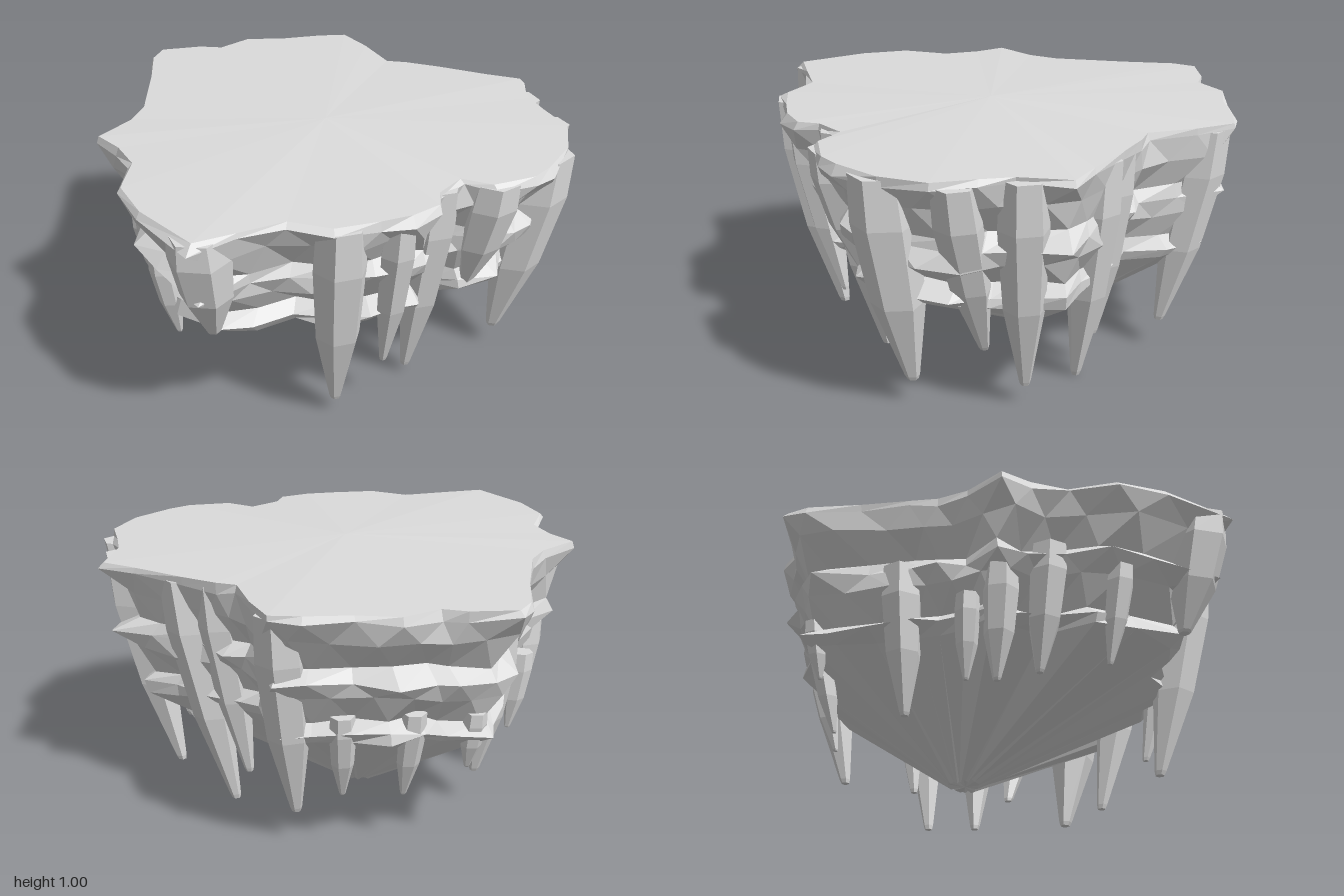
import * as THREE from 'three';

// Rim outline (x, z), counter-clockwise seen from above
const RIM = [
  [0.12, 0.97], [0.22, 0.83], [0.33, 0.67], [0.50, 0.63], [0.62, 0.50], [0.70, 0.40], [0.75, 0.28],
  [0.71, 0.20], [0.73, 0.06], [0.86, 0.04], [0.97, -0.10], [0.99, -0.20], [0.99, -0.40], [0.92, -0.58],
  [0.78, -0.68], [0.68, -0.76], [0.57, -0.93], [0.42, -0.90], [0.20, -0.87], [0.05, -0.84],
  [-0.03, -0.81], [-0.20, -0.92], [-0.35, -0.99], [-0.45, -0.92], [-0.58, -0.80], [-0.72, -0.71],
  [-0.77, -0.56], [-0.86, -0.52], [-0.99, -0.40], [-0.97, -0.30], [-0.85, -0.12], [-0.75, 0.05],
  [-0.69, 0.15], [-0.66, 0.28], [-0.68, 0.47], [-0.55, 0.51], [-0.42, 0.59], [-0.34, 0.77], [-0.17, 0.88],
];
const N = RIM.length;
const CENTRE = [-0.05, -0.28];

// Height, scale of the outline, roughness and sideways shift of each layer, from the rim down
const LAYERS = [
  [0.975, 0.985, 0, 0], [0.945, 1.0, 0.02, 0], [0.86, 0.955, 0.03, 0.5], [0.745, 0.865, 0.02, 1],
  [0.695, 0.925, 0.05, 1], [0.63, 0.895, 0.03, 1.5], [0.525, 0.79, 0.02, 2], [0.48, 0.85, 0.04, 2],
  [0.44, 0.81, 0.04, 2],
];

// Hanging spikes: tip x, tip y, tip z, greatest radius, top y, outward lean
const SPIKES = [
  [0.07, 0.48, 0.77, 0.12, 0.96, 0.10], [0.40, 0.07, 0.42, 0.105, 0.96, 0.16],
  [0.53, 0.21, 0.27, 0.07, 0.93, 0.14], [0.52, 0.04, 0.04, 0.095, 0.96, 0.16],
  [0.72, 0.45, -0.06, 0.10, 0.96, 0.12], [0.75, 0.10, -0.33, 0.12, 0.96, 0.16],
  [0.54, 0.20, -0.50, 0.09, 0.95, 0.30], [0.48, 0.08, -0.65, 0.095, 0.96, 0.18],
  [0.17, 0.0, -0.65, 0.09, 0.95, 0.18], [0.08, 0.15, -0.66, 0.08, 0.95, 0.12],
  [-0.25, 0.12, -0.75, 0.095, 0.95, 0.15], [-0.40, 0.20, -0.66, 0.05, 0.55, 0.08],
  [-0.56, 0.19, -0.50, 0.05, 0.55, 0.08], [-0.76, 0.32, -0.38, 0.045, 0.55, 0.04],
  [-0.59, 0.14, -0.08, 0.085, 0.73, 0.08], [-0.56, 0.22, 0.20, 0.05, 0.55, 0.05],
  [-0.50, 0.21, 0.30, 0.07, 0.65, 0.07], [-0.37, 0.26, 0.40, 0.08, 0.75, 0.09],
  [-0.21, 0.29, 0.61, 0.055, 0.70, 0.08],
];

function seeded(seed) {
  return () => {
    seed = (seed * 16807) % 2147483647;
    return seed / 2147483647;
  };
}

// Point on the outline at a fractional index
function rimPoint(t) {
  const i = Math.floor(t), f = t - i;
  const a = RIM[i % N], b = RIM[(i + 1) % N];
  return [a[0] + (b[0] - a[0]) * f, a[1] + (b[1] - a[1]) * f];
}

// Skin a stack of equal-length rings listed from top to bottom
function skin(rings, capTop, capBottom) {
  const n = rings[0].length, index = [];
  const pos = rings.flat();
  for (let r = 0; r < rings.length - 1; r++) {
    for (let j = 0; j < n; j++) {
      const a = r * n + j, b = r * n + (j + 1) % n;
      index.push(a + n, b + n, b, a + n, b, a);
    }
  }
  if (capTop) {
    pos.push(capTop);
    for (let j = 0; j < n; j++) index.push(pos.length - 1, j, (j + 1) % n);
  }
  if (capBottom) {
    pos.push(capBottom);
    const o = (rings.length - 1) * n;
    for (let j = 0; j < n; j++) index.push(pos.length - 1, o + (j + 1) % n, o + j);
  }
  const g = new THREE.BufferGeometry();
  g.setAttribute('position', new THREE.Float32BufferAttribute(pos.flat(), 3));
  g.setIndex(index);
  const flat = g.toNonIndexed();
  flat.computeVertexNormals();
  return flat;
}

// Outline scaled about the centre, with uneven edges
function layerRing([y, scale, rough, shift], rand) {
  return RIM.map((_, j) => {
    const [x, z] = rimPoint(j + shift);
    const s = scale + (rand() - 0.5) * 2 * rough;
    const wave = rough ? 0.01 * Math.sin(j * 0.9) + (rand() - 0.5) * 0.02 : 0;
    return [CENTRE[0] + (x - CENTRE[0]) * s, y + wave, CENTRE[1] + (z - CENTRE[1]) * s];
  });
}

// Six-sided spike leaning out towards the rim at its top
function spikeGeometry([x, y, z, radius, top, lean], rand) {
  const h = top - y;
  const away = new THREE.Vector2(x - CENTRE[0], z - CENTRE[1]).normalize();
  const turn = rand() * Math.PI;
  const profile = [[0, 0.9, 1], [0.22, 1, 0.85], [0.6, 0.84, 0.45], [0.98, 0.24, 0.02], [1, 0.18, 0]];
  const rings = profile.map(([t, r, out]) => {
    const ring = [];
    for (let k = 0; k < 6; k++) {
      const a = turn + k * Math.PI / 3;
      ring.push([
        x + away.x * lean * out + Math.sin(a) * r * radius,
        top - t * h,
        z + away.y * lean * out + Math.cos(a) * r * radius,
      ]);
    }
    return ring;
  });
  return skin(rings, [x + away.x * lean, top, z + away.y * lean], [x, y, z]);
}

export function createModel() {
  const model = new THREE.Group();
  model.name = 'floatingRock';
  const stone = new THREE.MeshStandardMaterial({ color: 0xdcdcdc, flatShading: true });
  stone.name = 'grey stone';
  const add = (name, geometry, parent = model) => {
    const mesh = new THREE.Mesh(geometry, stone);
    mesh.name = name;
    parent.add(mesh);
  };
  const rand = seeded(41);

  // Gently domed top and ledged cliff
  const cliff = LAYERS.map((layer) => layerRing(layer, rand));
  add('topGround', skin([cliff[0]], [0.05, 1.0, -0.1]));
  add('cliff', skin(cliff));

  // Ridged underside narrowing to a blunt point
  const foot = RIM.map((_, j) => {
    const [x, z] = rimPoint(j + 2);
    return [-0.1 + x * 0.07, 0.02 + rand() * 0.015, -0.2 + z * 0.07];
  });
  add('underside', skin([cliff[cliff.length - 1], foot], null, [-0.1, 0.02, -0.2]));

  // Hanging spikes around the cliff
  const spikes = new THREE.Group();
  spikes.name = 'spikes';
  model.add(spikes);
  SPIKES.forEach((s, i) => add('spike' + (i + 1), spikeGeometry(s, rand), spikes));
  return model;
}
